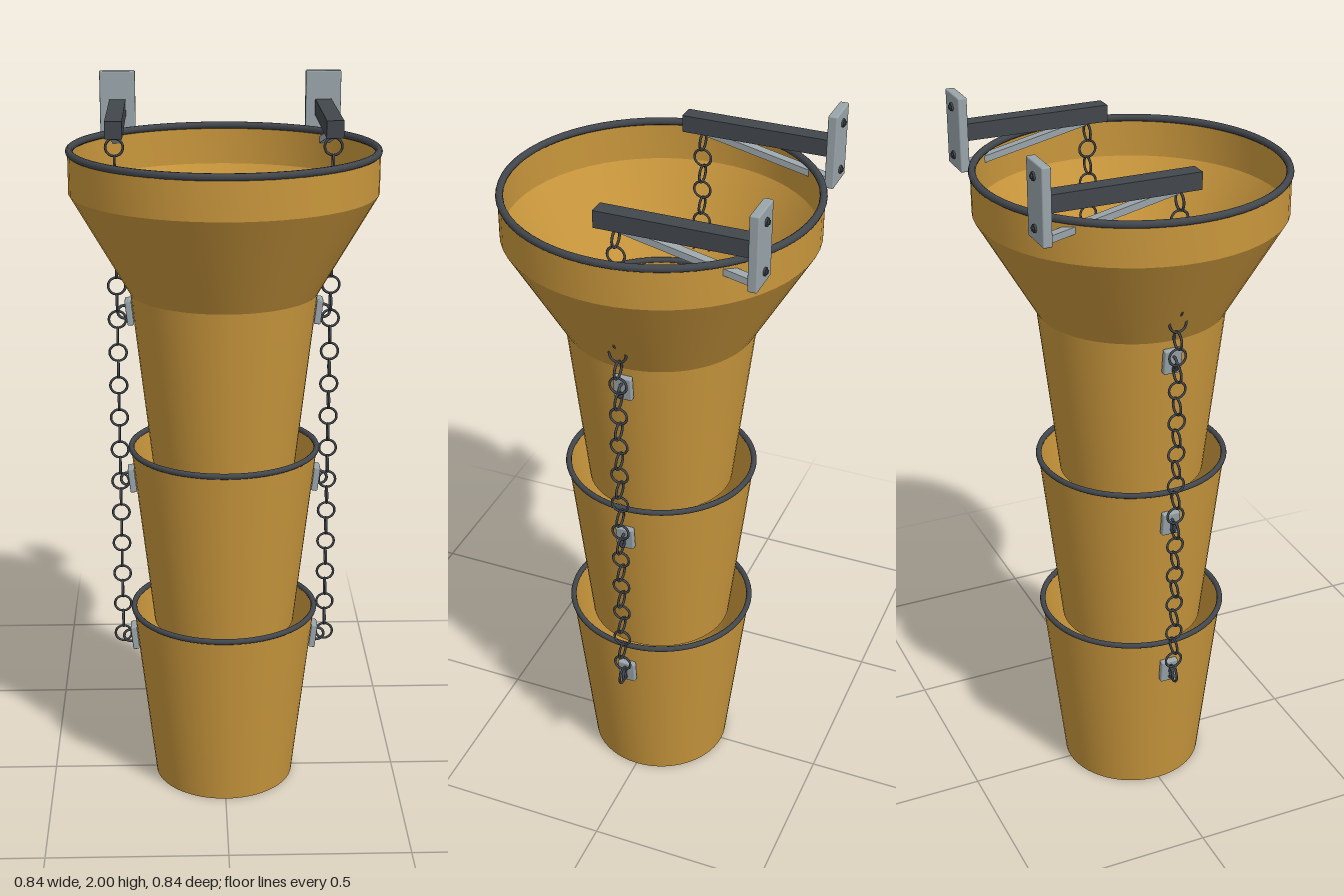
import * as THREE from 'three';
import { toCreasedNormals } from 'three/addons/utils/BufferGeometryUtils.js';
import { RoundedBoxGeometry } from 'three/addons/geometries/RoundedBoxGeometry.js';

const material = (color) => new THREE.MeshStandardMaterial({ color });

export function createModel() {
  const model = new THREE.Group();
  model.name = 'debrisChute';
  const plastic = material(0xc8963c);
  plastic.side = THREE.DoubleSide;
  const dark = material(0x42474d);
  const steel = material(0x9aa5aa);

  const add = (parent, name, geometry, mat, x = 0, y = 0, z = 0) => {
    const mesh = new THREE.Mesh(geometry, mat);
    mesh.name = name;
    mesh.position.set(x, y, z);
    parent.add(mesh);
    return mesh;
  };

  // Thin-walled turned shell from an outer profile of [radius, y], bottom to top
  const shell = (profile, wall = 0.005) => {
    const outer = profile.map(([r, y]) => new THREE.Vector2(r, y));
    const inner = profile.map(([r, y]) => new THREE.Vector2(r - wall, y)).reverse();
    return toCreasedNormals(new THREE.LatheGeometry([...outer, ...inner, outer[0].clone()], 56), 0.4);
  };

  const rim = (parent, radius, tube, y) => {
    const ring = add(parent, 'rimRing', new THREE.TorusGeometry(radius, tube, 10, 64), dark, 0, y, 0);
    ring.rotation.x = Math.PI / 2;
  };

  // Three nested tapering tubes, each with a rim and a pair of chain lugs
  const height = 0.525, pitch = 0.485;
  const tilt = Math.atan2(0.06, height);
  for (let i = 0; i < 3; i++) {
    const section = new THREE.Group();
    section.name = 'chuteSection' + (i + 1);
    section.position.y = i * pitch;
    add(section, 'tube', shell([[0.2, 0], [0.26, height]]), plastic);
    rim(section, 0.259, 0.008, height);
    for (const side of [1, -1]) {
      const lug = new THREE.Group();
      lug.name = side > 0 ? 'leftLug' : 'rightLug';
      lug.position.set(side * 0.249, 0.43, 0);
      lug.rotation.z = -side * tilt;
      add(lug, 'outerPlate', new RoundedBoxGeometry(0.018, 0.07, 0.05, 2, 0.004), steel, side * 0.009);
      add(lug, 'innerPlate', new RoundedBoxGeometry(0.018, 0.07, 0.05, 2, 0.004), steel, -side * 0.012);
      add(lug, 'eyeRing', new THREE.TorusGeometry(0.018, 0.004, 8, 20), dark, side * 0.023);
      section.add(lug);
    }
    model.add(section);
  }

  // Flared hopper
  const hopper = new THREE.Group();
  hopper.name = 'hopper';
  add(hopper, 'hopperShell', shell([[0.256, 1.455], [0.415, 1.73], [0.415, 1.84]]), plastic);
  rim(hopper, 0.41, 0.01, 1.84);
  model.add(hopper);

  for (const side of [1, -1]) {
    // Chain of alternating round links
    const chain = new THREE.Group();
    chain.name = side > 0 ? 'leftChain' : 'rightChain';
    const link = new THREE.TorusGeometry(0.0235, 0.0035, 6, 20);
    for (let i = 0; i < 31; i++) {
      const ring = add(chain, 'chainLink', link, dark, side * 0.291, 0.436 + i * 0.047, 0);
      if (i % 2) ring.rotation.y = Math.PI / 2;
    }
    model.add(chain);

    // Wall bracket: plate, arm, diagonal brace and bolts
    const bracket = new THREE.Group();
    bracket.name = side > 0 ? 'leftBracket' : 'rightBracket';
    bracket.position.x = side * 0.291;
    add(bracket, 'wallPlate', new RoundedBoxGeometry(0.1, 0.2, 0.025, 2, 0.004), steel, 0, 1.9, -0.3675);
    add(bracket, 'arm', new THREE.BoxGeometry(0.046, 0.046, 0.408), dark, 0, 1.898, -0.154);
    const from = new THREE.Vector3(0, 1.878, -0.01);
    const to = new THREE.Vector3(0, 1.802, -0.358);
    const brace = add(bracket, 'brace', new THREE.BoxGeometry(0.026, 0.018, from.distanceTo(to)), steel);
    brace.position.lerpVectors(from, to, 0.5);
    brace.rotation.x = -Math.atan2(from.y - to.y, from.z - to.z);
    for (const y of [1.835, 1.965]) {
      const bolt = add(bracket, 'bolt', new THREE.CylinderGeometry(0.011, 0.011, 0.006, 12), dark, 0, y, -0.382);
      bolt.rotation.x = Math.PI / 2;
      const tip = add(bracket, 'boltTip', new THREE.CylinderGeometry(0.006, 0.006, 0.01, 10), dark, 0, y, -0.384);
      tip.rotation.x = Math.PI / 2;
    }
    model.add(bracket);
  }
  return model;
}
